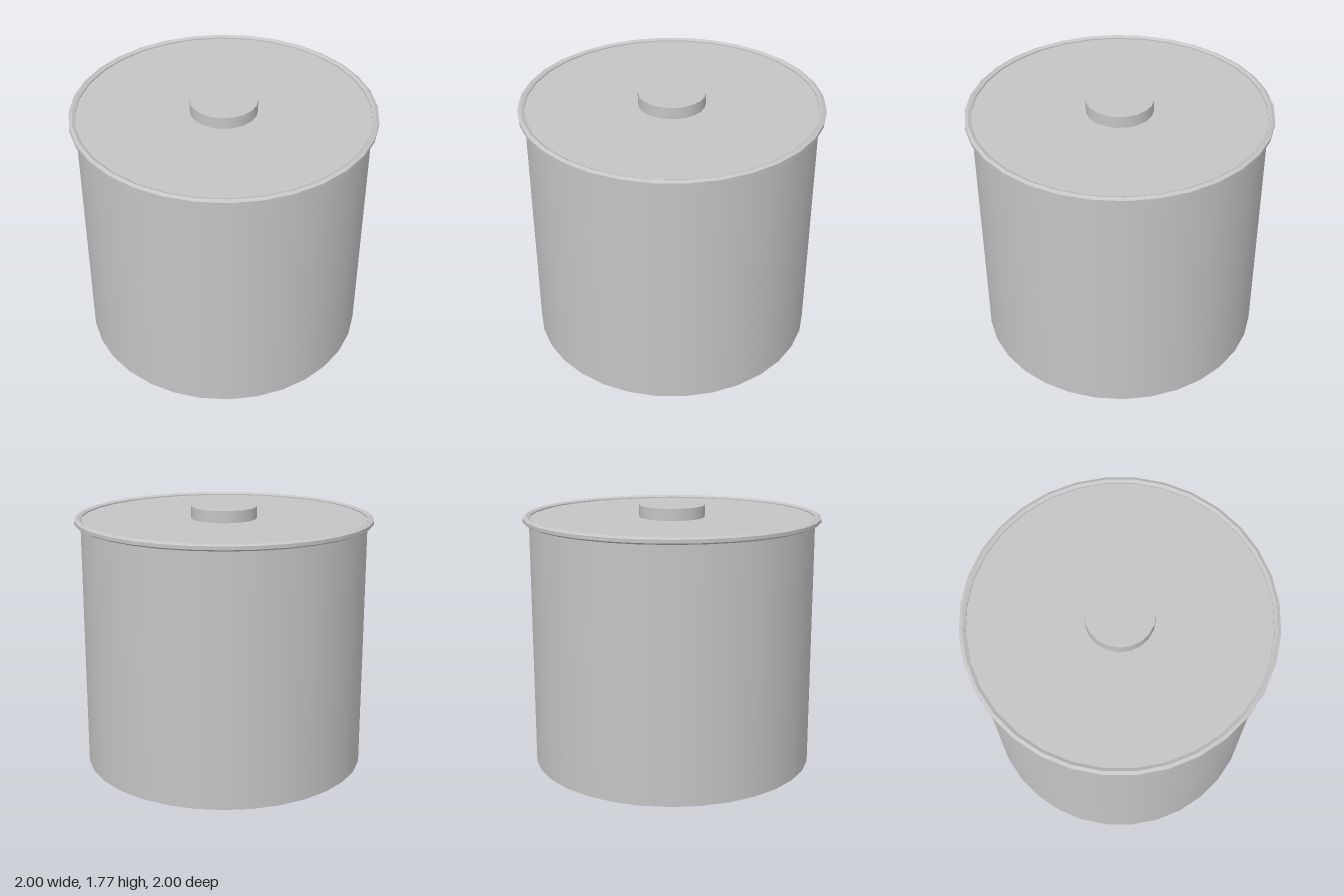
import * as THREE from 'three';
import { toCreasedNormals } from 'three/addons/utils/BufferGeometryUtils.js';

const SIDES = 32;

export function createModel() {
  const model = new THREE.Group();
  model.name = 'liddedPot';
  const metal = new THREE.MeshStandardMaterial({ color: 0xc4c4c4, side: THREE.DoubleSide });
  metal.name = 'grey metal';

  const add = (name, geometry, y = 0) => {
    const mesh = new THREE.Mesh(geometry, metal);
    mesh.name = name;
    mesh.position.y = y;
    model.add(mesh);
  };

  // Thin wall, open at the bottom
  add('wall', new THREE.CylinderGeometry(0.96, 0.96, 1.69, SIDES, 1, true), 0.845);

  // Flat lid, slightly below the top of the rim
  add('lid', new THREE.CircleGeometry(0.965, SIDES).rotateX(-Math.PI / 2), 1.69);

  // Six-sided bead around the lid
  const bead = [];
  for (let i = 0; i <= 6; i++) {
    const a = -Math.PI / 6 + (i * Math.PI) / 3;
    bead.push(new THREE.Vector2(0.979 + 0.0243 * Math.cos(a) * 0.998, 1.6875 + 0.0225 * Math.sin(a)));
  }
  add('rim', toCreasedNormals(new THREE.LatheGeometry(bead, SIDES), Math.PI / 6));

  // Low round knob
  add('knob', new THREE.CylinderGeometry(0.222, 0.222, 0.08, 20), 1.73);

  return model;
}
